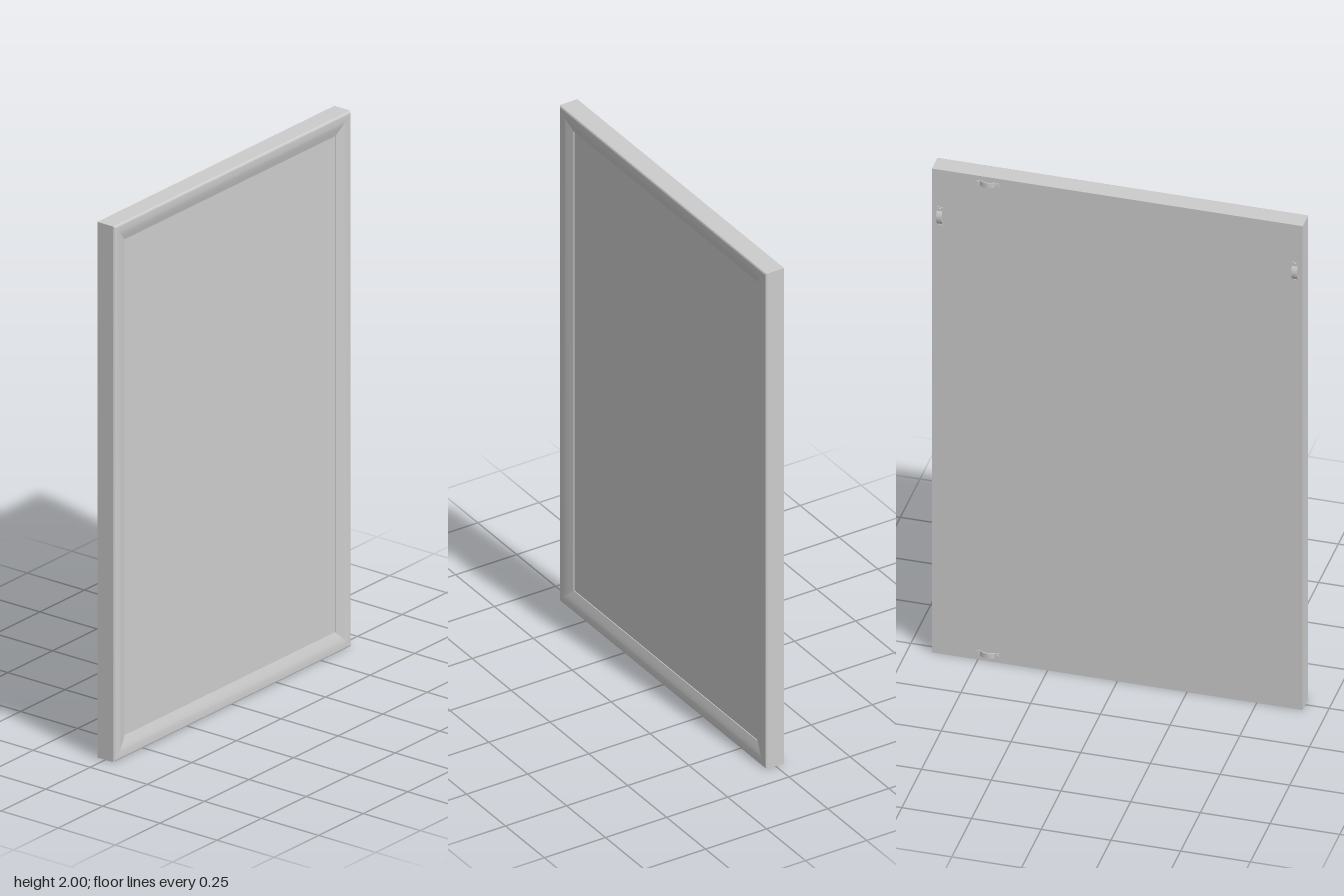
import * as THREE from 'three';
import { toCreasedNormals } from 'three/addons/utils/BufferGeometryUtils.js';

const HALF_W = 0.665, HEIGHT = 2, BACK = -0.035, PANEL_FRONT = 0.024, BORDER = 0.073;

// Sweeps an [inset, z] profile round the rectangle with mitred corners
function mitredFrame(profile) {
  const corner = ([inset, z], k) => {
    const x = (HALF_W - inset) * (k === 0 || k === 3 ? -1 : 1);
    const y = k < 2 ? inset : HEIGHT - inset;
    return [x, y, z];
  };
  const positions = [];
  for (let i = 0; i < profile.length - 1; i++) {
    for (let k = 0; k < 4; k++) {
      const next = (k + 1) % 4;
      const a = corner(profile[i], k), b = corner(profile[i], next);
      const c = corner(profile[i + 1], next), d = corner(profile[i + 1], k);
      positions.push(...a, ...b, ...c, ...a, ...c, ...d);
    }
  }
  const geometry = new THREE.BufferGeometry();
  geometry.setAttribute('position', new THREE.Float32BufferAttribute(positions, 3));
  return toCreasedNormals(geometry, 0.25);
}

// Arched metal strip with a screw at each end, standing out towards -z
function createHanger(material) {
  const hanger = new THREE.Group();
  const width = 0.02, thick = 0.0025;

  const strip = new THREE.Shape();
  strip.moveTo(-0.042, 0);
  strip.lineTo(-0.024, 0);
  strip.quadraticCurveTo(0, 0.014, 0.024, 0);
  strip.lineTo(0.042, 0);
  strip.lineTo(0.042, thick);
  strip.lineTo(0.026, thick);
  strip.quadraticCurveTo(0, 0.019, -0.026, thick);
  strip.lineTo(-0.042, thick);
  strip.closePath();
  const stripGeometry = new THREE.ExtrudeGeometry(strip, {
    depth: width, bevelEnabled: false, curveSegments: 10,
  });
  stripGeometry.translate(0, 0, -width / 2).rotateX(-Math.PI / 2);
  const stripMesh = new THREE.Mesh(stripGeometry, material);
  stripMesh.name = 'hangerStrip';
  hanger.add(stripMesh);

  for (const side of [-1, 1]) {
    const screw = new THREE.Mesh(new THREE.CylinderGeometry(0.006, 0.006, 0.005, 16), material);
    screw.name = 'hangerScrew';
    screw.rotation.x = -Math.PI / 2;
    screw.position.set(side * 0.033, 0, -0.0025);
    hanger.add(screw);
  }
  return hanger;
}

export function createModel() {
  const model = new THREE.Group();
  model.name = 'pictureFrame';
  const grey = new THREE.MeshStandardMaterial({ color: 0xcccccc });
  grey.name = 'plain grey';

  // Moulding: back, outer side, small front edge, then a curved slope down to the panel
  const frame = new THREE.Mesh(mitredFrame([
    [BORDER, BACK], [0, BACK], [0, 0.034], [0.002, 0.038], [0.007, 0.04],
    [0.018, 0.04], [0.034, 0.038], [0.05, 0.034], [0.063, 0.03], [BORDER, 0.027],
    [BORDER, PANEL_FRONT - 0.002],
  ]), grey);
  frame.name = 'frame';
  model.add(frame);

  // Flat panel set back inside the moulding
  const panel = new THREE.Mesh(new THREE.BoxGeometry(
    2 * (HALF_W - BORDER), HEIGHT - 2 * BORDER, PANEL_FRONT - BACK), grey);
  panel.name = 'panel';
  panel.position.set(0, HEIGHT / 2, (PANEL_FRONT + BACK) / 2);
  model.add(panel);

  // Hangers on the back: x, y, turn
  const hangers = [
    ['topHanger', 0.465, 1.972, 0],
    ['bottomHanger', 0.465, 0.028, 0],
    ['leftHanger', 0.637, 1.805, Math.PI / 2],
    ['rightHanger', -0.637, 1.805, Math.PI / 2],
  ];
  for (const [name, x, y, turn] of hangers) {
    const hanger = createHanger(grey);
    hanger.name = name;
    hanger.position.set(x, y, BACK);
    hanger.rotation.z = turn;
    model.add(hanger);
  }
  return model;
}
